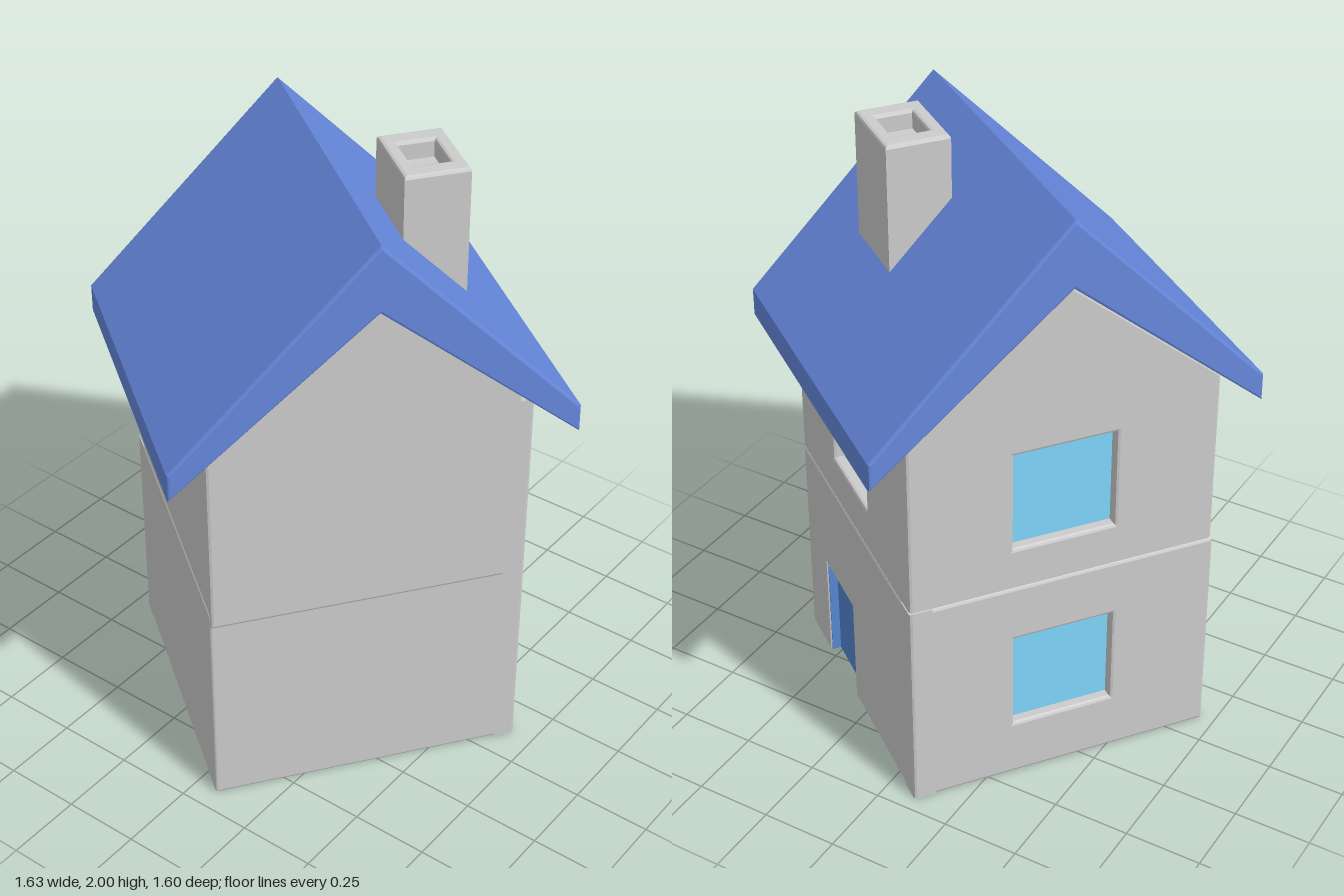
import * as THREE from 'three';
import { RoundedBoxGeometry } from 'three/addons/geometries/RoundedBoxGeometry.js';

const mat = (color) => new THREE.MeshStandardMaterial({ color });
const BEVEL = 0.01;
const PANEL = 0.08;   // thickness of a pierced wall panel
const RECESS = 0.04;  // depth of the window and door openings

const rectPoints = (x0, x1, y0, y1) => [[x0, y0], [x1, y0], [x1, y1], [x0, y1]];

function makeShape(points, holes = []) {
  const shape = new THREE.Shape(points.map((p) => new THREE.Vector2(...p)));
  for (const h of holes) {
    shape.holes.push(new THREE.Path(rectPoints(...h).reverse().map((p) => new THREE.Vector2(...p))));
  }
  return shape;
}

// Softened slab whose faces lie at z0 and z1
function slab(points, holes, z0, z1, bevel = BEVEL) {
  const geo = new THREE.ExtrudeGeometry(makeShape(points, holes), {
    depth: z1 - z0 - 2 * bevel,
    bevelEnabled: true, bevelThickness: bevel, bevelSize: bevel, bevelOffset: -bevel, bevelSegments: 2,
  });
  return geo.translate(0, 0, z0 + bevel);
}

export function createModel() {
  const model = new THREE.Group();
  const house = new THREE.Group();
  house.name = 'house';
  house.rotation.y = -0.637;
  model.add(house);

  const grey = mat(0xcccccc), blue = mat(0x6688dd), doorBlue = mat(0x5587d1), glass = mat(0x7fd6fa);

  const add = (parent, name, geo, material, x = 0, y = 0, z = 0) => {
    const mesh = new THREE.Mesh(geo, material);
    mesh.name = name;
    mesh.position.set(x, y, z);
    parent.add(mesh);
    return mesh;
  };

  // Wall whose outer face is at local z = 0, with glazed openings
  const wall = (name, points, windows, x, z, turn) => {
    const group = new THREE.Group();
    group.name = name;
    group.position.set(x, 0, z);
    group.rotation.y = turn;
    house.add(group);
    add(group, name + 'Panel', slab(points, windows, -PANEL, 0), grey);
    for (const [x0, x1, y0, y1] of windows) {
      add(group, 'windowPane', new THREE.BoxGeometry(x1 - x0, y1 - y0, 0.02), glass,
        (x0 + x1) / 2, (y0 + y1) / 2, -RECESS - 0.006);
    }
    return group;
  };

  // Lower storey: solid core, door wall and back wall
  const LU = 0.5025, LB = -0.508, LF = 0.472, LH = 0.73;
  const coreW = 2 * LU - RECESS, coreL = LF - LB - RECESS;
  add(house, 'lowerStoreyCore', new RoundedBoxGeometry(coreW, LH, coreL, 2, BEVEL), grey,
    -RECESS / 2, LH / 2, (LF + LB + RECESS) / 2);
  const d0 = -0.295, d1 = -0.037, dTop = 0.37;
  const doorWall = wall('doorWall',
    [[-LF, 0], [d0, 0], [d0, dTop], [d1, dTop], [d1, 0], [-LB, 0], [-LB, LH], [-LF, LH]],
    [], LU, 0, Math.PI / 2);
  wall('lowerBackWall', rectPoints(-LU, LU, 0, LH), [[-0.165, 0.165, 0.2, 0.535]], 0, LB, Math.PI);

  // Door leaf and its coloured lining
  const dMid = (d0 + d1) / 2, dw = d1 - d0;
  add(doorWall, 'door', new THREE.BoxGeometry(dw, dTop, 0.02), doorBlue, dMid, dTop / 2, -RECESS - 0.006);
  for (const x of [d0 + 0.002, d1 - 0.002]) {
    add(doorWall, 'doorJamb', new THREE.BoxGeometry(0.004, dTop, 0.036), doorBlue, x, dTop / 2, -0.025);
  }
  add(doorWall, 'doorHead', new THREE.BoxGeometry(dw, 0.004, 0.036), doorBlue, dMid, dTop - 0.002, -0.025);

  // Upper storey: gabled core, window side wall and back gable wall
  const UU = 0.499, UB = -0.501, UF = 0.48, U0 = 0.68, EAVE = 1.327, APEX = 1.74;
  const slopeAt = (u) => APEX - (u / UU) * (APEX - EAVE);
  const gable = (right) => [[-UU, U0], [right, U0], [right, slopeAt(right)], [0, APEX], [-UU, EAVE]];
  add(house, 'upperStoreyCore', slab(gable(UU - RECESS), [], UB + RECESS, UF), grey);
  wall('upperSideWall', rectPoints(-UF, -UB, U0, EAVE), [[-0.165, 0.14, 0.87, 1.205]], UU, 0, Math.PI / 2);
  wall('upperBackWall', gable(UU), [[-0.165, 0.165, 0.87, 1.205]], 0, UB, Math.PI);

  // Roof: thick at the ridge, thinner at the eaves
  const RU = 0.622, RL = 0.5375;
  const roofProfile = [[-RU, 1.225], [0, 1.742], [RU, 1.225], [RU, 1.315], [0, 1.957], [-RU, 1.315]];
  add(house, 'roof', slab(roofProfile, [], -RL, RL, 0.008), blue);

  // Chimney: hollow stack with a shallow flue
  const cw = 0.1, cl = 0.132, fw = 0.057, fl = 0.07;
  const chimney = new THREE.Group();
  chimney.name = 'chimney';
  chimney.position.set(0.252, 0, 0.131);
  house.add(chimney);
  const stack = slab(rectPoints(-cw, cw, -cl, cl), [[-fw, fw, -fl, fl]], 1.56, 2);
  add(chimney, 'chimneyStack', stack.rotateX(-Math.PI / 2), grey);
  add(chimney, 'flueFloor', new THREE.BoxGeometry(2 * fw, 0.3, 2 * fl), grey, 0, 1.79, 0);

  return model;
}
